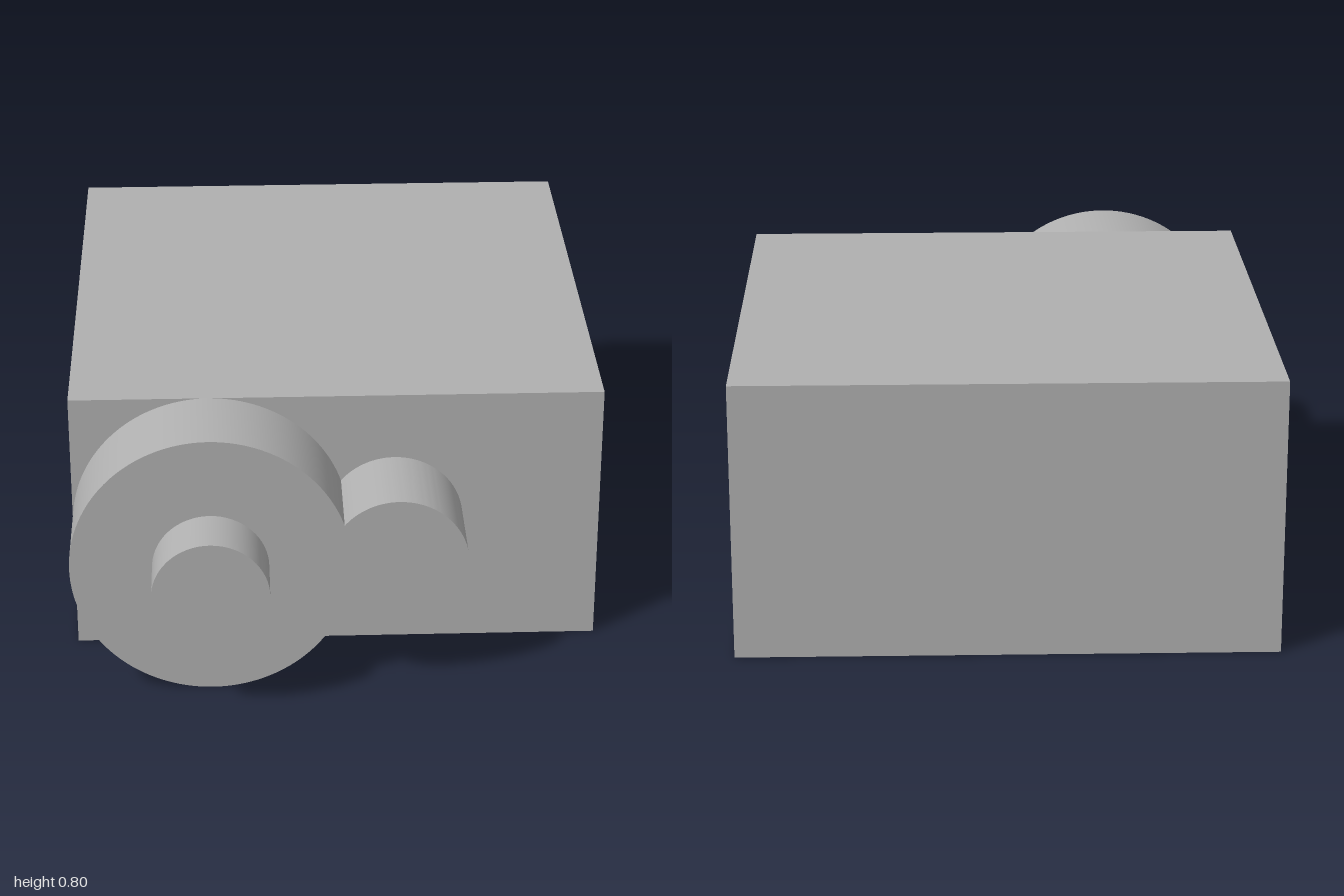
import * as THREE from 'three';
import { toCreasedNormals } from 'three/addons/utils/BufferGeometryUtils.js';

export function createModel() {
  const model = new THREE.Group();
  model.name = 'gearboxMotor';
  const grey = new THREE.MeshStandardMaterial({ color: 0xb0b0b0 });
  grey.name = 'plain grey';

  const add = (name, geometry, x, y, z) => {
    const mesh = new THREE.Mesh(geometry, grey);
    mesh.name = name;
    mesh.position.set(x, y, z);
    model.add(mesh);
  };

  const midY = 0.4;
  const bodyFront = 0.565;
  const housingFront = 0.833;
  const bigX = -0.367;

  // Rectangular body
  add('body', new THREE.BoxGeometry(1.534, 0.8, 1 + bodyFront), 0, midY, (bodyFront - 1) / 2);

  // Housing: a large and a small disc merged into one outline
  const bigR = 0.4, smallR = 0.2, gap = 0.534;
  const chordX = (gap * gap + bigR * bigR - smallR * smallR) / (2 * gap);
  const bigAngle = Math.acos(chordX / bigR);
  const smallAngle = Math.acos((chordX - gap) / smallR);
  const outline = new THREE.Shape();
  outline.absarc(0, 0, bigR, bigAngle, 2 * Math.PI - bigAngle, false);
  outline.absarc(gap, 0, smallR, -smallAngle, smallAngle, false);
  const housing = new THREE.ExtrudeGeometry(outline, {
    depth: housingFront - bodyFront, bevelEnabled: false, curveSegments: 64,
  });
  add('housing', toCreasedNormals(housing, 0.5), bigX, midY, bodyFront);

  // Output shaft on the large disc
  const shaftLength = 1 - housingFront;
  const shaft = new THREE.CylinderGeometry(0.166, 0.166, shaftLength, 64);
  shaft.rotateX(Math.PI / 2);
  add('shaft', shaft, bigX, midY, housingFront + shaftLength / 2);

  return model;
}
